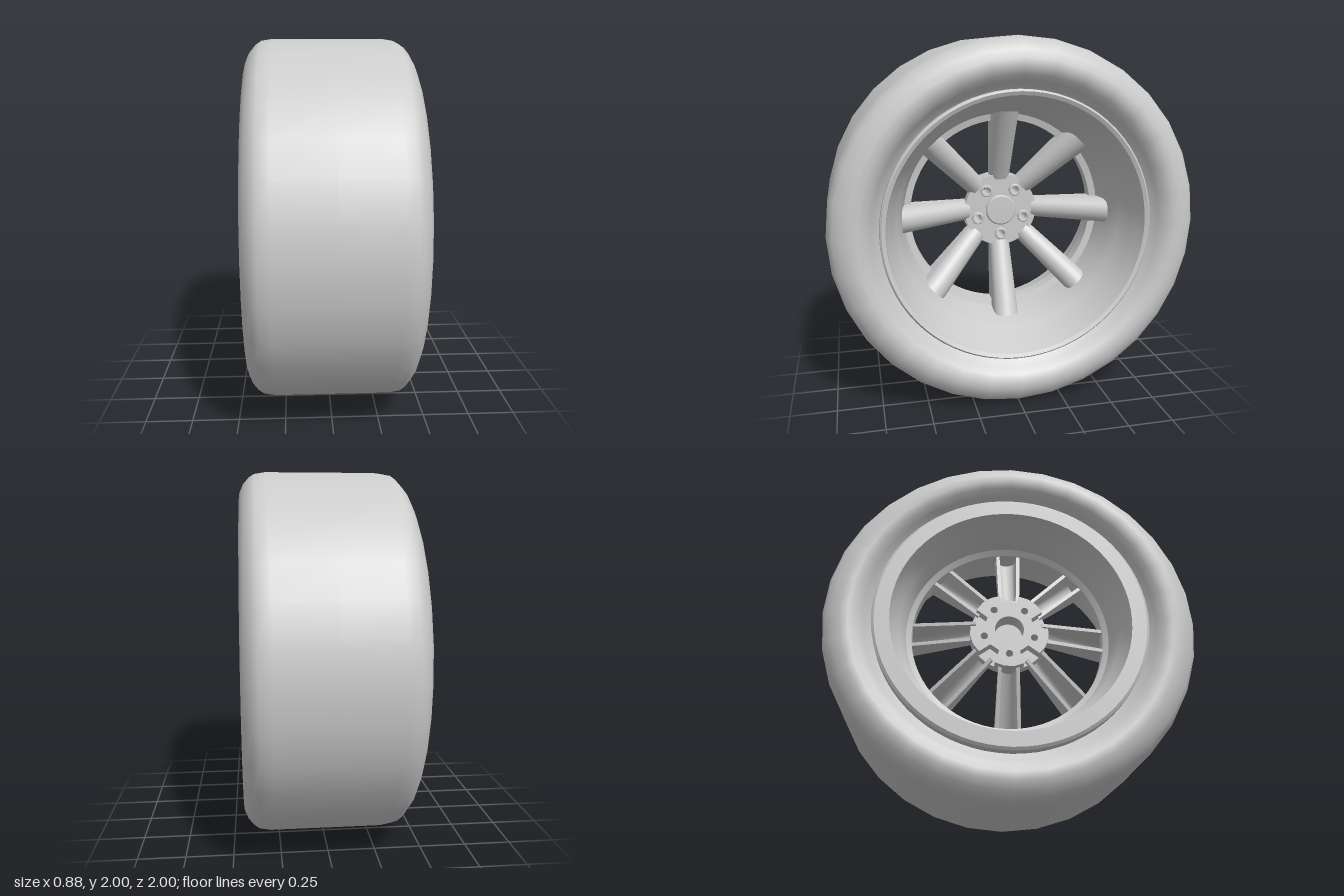
import * as THREE from 'three';
import { toCreasedNormals } from 'three/addons/utils/BufferGeometryUtils.js';

const grey = new THREE.MeshStandardMaterial({ color: 0xcccccc });
const greyDouble = new THREE.MeshStandardMaterial({ color: 0xcccccc, side: THREE.DoubleSide });

function addMesh(parent, name, geometry, material = grey) {
  const mesh = new THREE.Mesh(geometry, material);
  mesh.name = name;
  parent.add(mesh);
  return mesh;
}

// Revolve [radius, x] points around the x axis
function revolve(profile, segments) {
  const points = profile.map(([r, x]) => new THREE.Vector2(r, x));
  return new THREE.LatheGeometry(points, segments).rotateZ(-Math.PI / 2);
}

// Extrude a shape along x, from x0 to x1
function extrudeAlongX(shape, x0, x1) {
  const g = new THREE.ExtrudeGeometry(shape, { depth: x1 - x0, bevelEnabled: false, curveSegments: 32 });
  return toCreasedNormals(g.rotateY(Math.PI / 2).translate(x0, 0, 0), 0.5);
}

const LUGS = Array.from({ length: 5 }, (_, i) => -Math.PI / 2 + (i * Math.PI * 2) / 5);
const LUG_RADIUS = 0.145;

function circleHole(x, y, r) {
  return new THREE.Path().absarc(x, y, r, 0, Math.PI * 2, true);
}

function drill(shape) {
  shape.holes.push(circleHole(0, 0, 0.08));
  for (const a of LUGS) {
    shape.holes.push(circleHole(Math.cos(a) * LUG_RADIUS, Math.sin(a) * LUG_RADIUS, 0.02));
  }
  return shape;
}

// Spoke: an arched channel, open at the back, rising from hub to barrel
function spokeGeometry() {
  const sections = 6, arc = 12, positions = [], index = [];
  const arch = (w, top, bottom) => {
    const pts = [[-w, bottom]];
    for (let i = 0; i <= arc; i++) {
      const a = Math.PI * (1 - i / arc);
      pts.push([Math.cos(a) * w, top - w + Math.sin(a) * w]);
    }
    pts.push([w, bottom]);
    return pts;
  };
  let n = 0;
  for (let s = 0; s <= sections; s++) {
    const t = s / sections, lerp = THREE.MathUtils.lerp;
    const radius = lerp(0.185, 0.597, t);
    const w = lerp(0.058, 0.072, t), top = lerp(-0.1, 0.1, t), bottom = lerp(-0.2, -0.11, t);
    const wall = 0.02;
    const ring = [...arch(w, top, bottom), ...arch(w - wall, top - wall, bottom).reverse()];
    n = ring.length;
    for (const [z, x] of ring) positions.push(x, radius, z);
  }
  for (let s = 0; s < sections; s++) {
    for (let i = 0; i < n; i++) {
      const a = s * n + i, b = s * n + ((i + 1) % n);
      index.push(a, b, a + n, b, b + n, a + n);
    }
  }
  const g = new THREE.BufferGeometry();
  g.setAttribute('position', new THREE.Float32BufferAttribute(positions, 3));
  g.setIndex(index);
  return toCreasedNormals(g, 0.6);
}

export function createModel() {
  const model = new THREE.Group();
  model.name = 'wheel';
  const wheel = new THREE.Group();
  wheel.name = 'wheelAssembly';
  wheel.position.y = 1;
  model.add(wheel);

  // Tyre with rounded shoulders and sidewalls that dip towards the bead
  const half = [
    [0.72, 0.33], [0.75, 0.35], [0.78, 0.39], [0.81, 0.425], [0.85, 0.44], [0.89, 0.44],
    [0.935, 0.42], [0.97, 0.39], [0.99, 0.36], [1, 0.3],
  ];
  const tyre = [...half.map(([r, x]) => [r, -x]), [1, 0], ...[...half].reverse()];
  addMesh(wheel, 'tyre', revolve(tyre, 32), greyDouble);

  // Rim: outer wall back to front, then stepped barrel front to back
  const rim = [
    [0.72, -0.41], [0.735, -0.4], [0.735, -0.33], [0.7, -0.3], [0.67, 0], [0.7, 0.3],
    [0.735, 0.31], [0.735, 0.375], [0.725, 0.385], [0.705, 0.375], [0.69, 0.33], [0.668, 0.28],
    [0.645, 0.2], [0.635, 0.18], [0.605, 0.1], [0.578, -0.05],
    [0.54, -0.06], [0.54, -0.13], [0.57, -0.15], [0.6, -0.26], [0.63, -0.31], [0.64, -0.41],
    [0.72, -0.41],
  ];
  addMesh(wheel, 'rim', toCreasedNormals(revolve(rim, 72), 0.5));

  // Eight spokes
  const spoke = spokeGeometry();
  for (let i = 0; i < 8; i++) {
    addMesh(wheel, 'spoke', spoke, greyDouble).rotation.x = (i * Math.PI) / 4;
  }

  // Hub disc with bore and bolt holes
  const disc = drill(new THREE.Shape().absarc(0, 0, 0.215, 0, Math.PI * 2, false));
  addMesh(wheel, 'hub', extrudeAlongX(disc, -0.17, -0.11));

  // Mounting plate behind the hub, notched between the bolts
  const plate = new THREE.Shape();
  LUGS.forEach((a, i) => {
    [[-0.42, 0.14], [-0.38, 0.215], [-0.13, 0.22], [0.13, 0.22], [0.38, 0.215], [0.42, 0.14]].forEach(([d, r], j) => {
      const x = Math.cos(a + d) * r, y = Math.sin(a + d) * r;
      if (i + j === 0) plate.moveTo(x, y);
      else plate.lineTo(x, y);
    });
  });
  plate.closePath();
  addMesh(wheel, 'mountingPlate', extrudeAlongX(drill(plate), -0.23, -0.17));

  // Centre cap
  const cap = [[0, -0.13], [0.09, -0.13], [0.09, -0.098], [0.083, -0.09], [0, -0.088]];
  addMesh(wheel, 'centreCap', toCreasedNormals(revolve(cap, 40), 0.5));

  // Bolt seats
  const seat = toCreasedNormals(
    revolve([[0.02, -0.12], [0.036, -0.12], [0.036, -0.1], [0.032, -0.095], [0.024, -0.095], [0.02, -0.12]], 24), 0.5);
  for (const a of LUGS) {
    addMesh(wheel, 'boltSeat', seat).position.set(0, Math.sin(a) * LUG_RADIUS, -Math.cos(a) * LUG_RADIUS);
  }
  return model;
}
